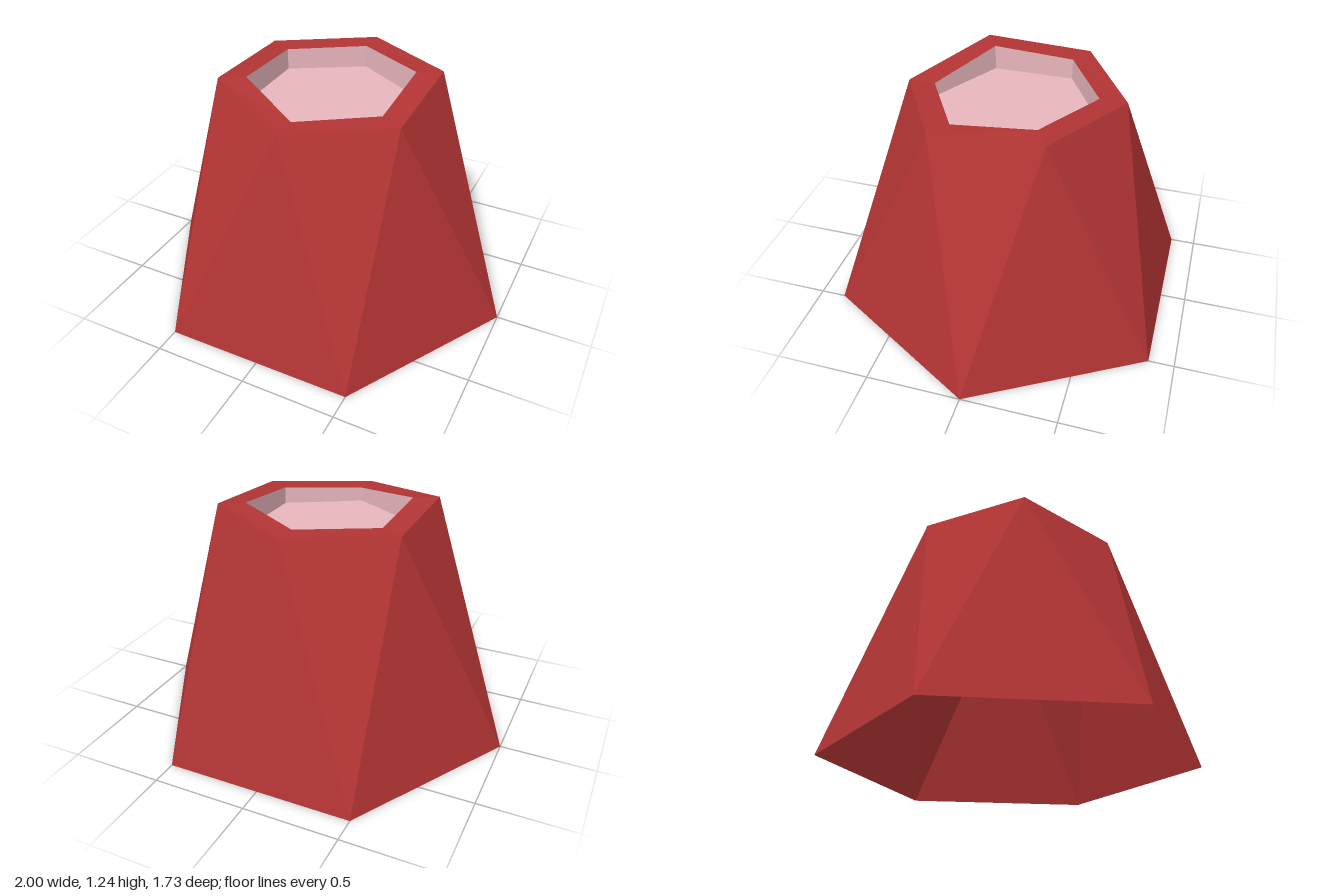
import * as THREE from 'three';

const SIDES = 6;

// Ring of points; height is a number or one value per corner
function ring(radius, height, turn) {
  return Array.from({ length: SIDES }, (_, i) => {
    const a = ((i + turn) / SIDES) * Math.PI * 2;
    const y = Array.isArray(height) ? height[i] : height;
    return new THREE.Vector3(Math.cos(a) * radius, y, Math.sin(a) * radius);
  });
}

// Flat-faceted mesh from a list of triangle corners
function facets(name, corners, material) {
  const geometry = new THREE.BufferGeometry().setFromPoints(corners);
  geometry.computeVertexNormals();
  const mesh = new THREE.Mesh(geometry, material);
  mesh.name = name;
  return mesh;
}

// Quads joining two aligned rings
function band(a, b) {
  return a.flatMap((p, i) => {
    const j = (i + 1) % SIDES;
    return [a[j], p, b[i], a[j], b[i], b[j]];
  });
}

export function createModel() {
  const red = new THREE.MeshStandardMaterial({ color: 0xb23434, side: THREE.DoubleSide });
  red.name = 'red shell';
  const pink = new THREE.MeshStandardMaterial({ color: 0xf2bec5, side: THREE.DoubleSide });
  pink.name = 'pale pink';

  // Uneven top edge, starting at the front left corner (+x, +z)
  const topHeights = [1.19, 1.175, 1.235, 1.215, 1.222, 1.235];
  const base = ring(1, 0, 0);
  const top = ring(0.57, topHeights, 0.5);
  const lip = ring(0.43, topHeights, 0.5);
  const floor = ring(0.43, 1.1, 0.5);

  // Twisted shell, open underneath: alternating upright and inverted triangles
  const shell = base.flatMap((p, i) => {
    const j = (i + 1) % SIDES;
    return [base[j], p, top[i], top[i], top[j], base[j]];
  });

  // Floor of the hollow as a fan
  const centre = new THREE.Vector3(0, 1.1, 0);
  const fan = floor.flatMap((p, i) => [floor[(i + 1) % SIDES], p, centre]);

  const group = new THREE.Group();
  group.name = 'hollowCone';
  group.add(
    facets('outerShell', shell, red),
    facets('topRim', band(top, lip), red),
    facets('hollowWall', band(lip, floor), pink),
    facets('hollowFloor', fan, pink),
  );
  return group;
}
